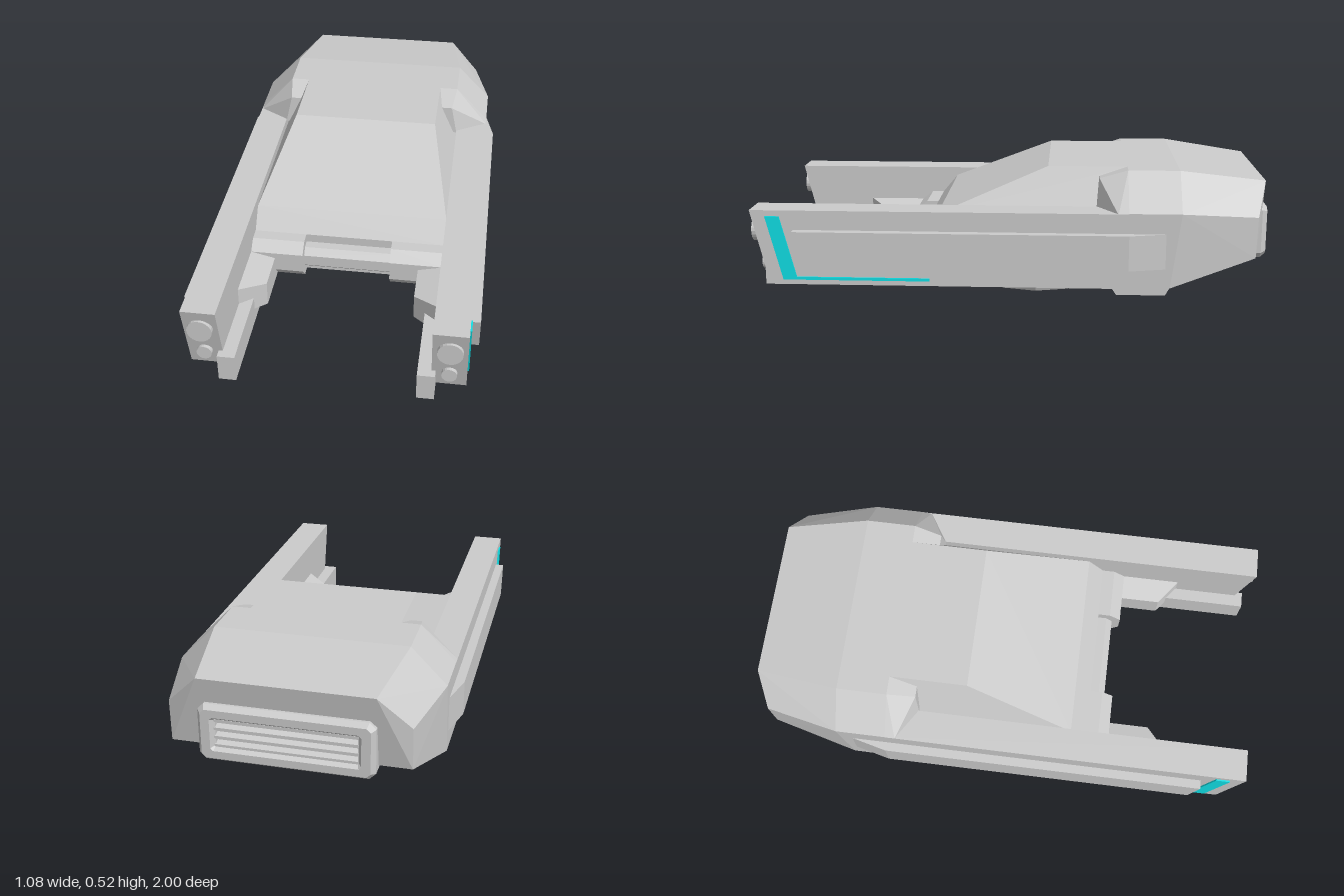
import * as THREE from 'three';
import { ConvexGeometry } from 'three/addons/geometries/ConvexGeometry.js';

const grey = new THREE.MeshStandardMaterial({ color: 0xcccccc, flatShading: true });
const cyan = new THREE.MeshStandardMaterial({ color: 0x10e0e6, flatShading: true });

export function createModel() {
  const model = new THREE.Group();

  function add(name, geometry, material = grey) {
    const mesh = new THREE.Mesh(geometry, material);
    mesh.name = name;
    model.add(mesh);
    return mesh;
  }
  // Faceted solid around corner points [x, y, z]
  const solid = (name, points, material) =>
    add(name, new ConvexGeometry(points.map(p => new THREE.Vector3(...p))), material);
  // Solid symmetric about x = 0, from the corners of its left half
  const symmetric = (name, points) =>
    solid(name, points.flatMap(([x, y, z]) => [[x, y, z], [-x, y, z]]));
  // The same solid on the left and on the right
  const pair = (name, points, material) => {
    solid(name + 'Left', points, material);
    solid(name + 'Right', points.map(([x, y, z]) => [-x, y, z]), material);
  };
  // Side profile [z, y] spanned from x0 to x1
  const prism = (profile, x0, x1) => profile.flatMap(([z, y]) => [[x0, y, z], [x1, y, z]]);

  // Cabin with sloped windshield, short nose and flat floor
  symmetric('cabin', [
    [0.295, 0.525, -0.46], [0.295, 0.525, -0.14],
    [0.38, 0.348, -0.46], [0.38, 0.348, 0.29],
    [0.38, 0.27, 0.355], [0.38, 0.1, 0.355], [0.38, 0.1, -0.46],
  ]);

  // Rear hull, tapering to the back
  symmetric('rearHull', [
    [0.507, 0.09, -0.45], [0.507, 0.385, -0.45], [0.37, 0.525, -0.45],
    [0.507, 0.095, -0.61], [0.507, 0.385, -0.65], [0.37, 0.525, -0.65],
    [0.44, 0.2, -0.94], [0.44, 0.36, -0.945], [0.32, 0.48, -0.985],
  ]);

  // Fairings from the rear hull to the arms
  pair('fairing', [
    [0.295, 0.525, -0.45], [0.37, 0.525, -0.45], [0.507, 0.385, -0.45],
    [0.507, 0.38, -0.41], [0.31, 0.49, -0.34], [0.355, 0.49, -0.34],
    [0.38, 0.375, -0.33], [0.33, 0.375, -0.33], [0.3, 0.375, -0.45],
  ]);

  // Long forward arms with raked ends
  pair('arm', prism([[1, 0.383], [0.93, 0.09], [-0.46, 0.09], [-0.46, 0.383]], 0.38, 0.507));

  // Raised outer panels, fading into the rear hull
  pair('sidePanel', [
    [0.5, 0.17, 0.8], [0.5, 0.307, 0.832], [0.542, 0.17, 0.8], [0.542, 0.307, 0.832],
    [0.542, 0.17, -0.45], [0.542, 0.307, -0.45],
    [0.5, 0.17, -0.62], [0.5, 0.307, -0.62],
  ]);

  // Light strips on the outside of the arms
  pair('slantedLight', prism([[0.94, 0.36], [0.885, 0.36], [0.822, 0.11], [0.877, 0.11]], 0.5, 0.513), cyan);
  pair('lowerLight', prism([[0.85, 0.11], [0.85, 0.121], [0.31, 0.121], [0.31, 0.11]], 0.5, 0.513), cyan);

  // Skids inside the arms, fins below them and inner brackets
  pair('skid', prism([[0.98, 0.165], [0.98, 0.055], [0.34, 0.055], [0.25, 0.09], [0.25, 0.165]], 0.33, 0.395));
  pair('fin', prism([[-0.37, 0.1], [-0.41, 0.04], [-0.6, 0.04], [-0.64, 0.11]], 0.405, 0.425));
  pair('bracket', [
    [0.285, 0.212, 0.4], [0.285, 0.212, 0.61], [0.385, 0.236, 0.69], [0.385, 0.236, 0.4],
    [0.285, 0.112, 0.4], [0.285, 0.112, 0.61], [0.385, 0.112, 0.69], [0.385, 0.112, 0.4],
  ]);

  // Bumper blocks and the thinner bar between them
  pair('bumperBlock', prism([[0.34, 0.27], [0.405, 0.27], [0.45, 0.235], [0.45, 0.155], [0.41, 0.11], [0.34, 0.11]], 0.173, 0.38));
  solid('bumperBar', prism([[0.34, 0.235], [0.392, 0.235], [0.417, 0.21], [0.417, 0.165], [0.395, 0.145], [0.34, 0.145]], -0.175, 0.175));

  // Headlights, two on each arm
  for (const side of [-1, 1]) {
    for (const [y, r, z] of [[0.296, 0.046, 1], [0.166, 0.028, 0.968]]) {
      const lamp = add('headlight', new THREE.CylinderGeometry(r, r, 0.06, 20));
      lamp.rotation.x = Math.PI / 2;
      lamp.position.set(side * 0.444, y, z - 0.03);
    }
  }

  // Rear vent frame with chamfered edge
  const cornered = (Path, w, h, c) => new Path([
    [w - c, -h], [w, c - h], [w, h - c], [w - c, h],
    [c - w, h], [-w, h - c], [-w, c - h], [c - w, -h],
  ].map(p => new THREE.Vector2(...p)));
  const outline = cornered(THREE.Shape, 0.305, 0.095, 0.015);
  outline.holes.push(cornered(THREE.Path, 0.272, 0.066, 0.01));
  const frame = add('ventFrame', new THREE.ExtrudeGeometry(outline, {
    depth: 0.18, bevelThickness: 0.02, bevelSize: 0.015, bevelSegments: 1,
  }));
  frame.rotation.y = Math.PI;
  frame.position.set(0, 0.275, -0.8);

  // Vent back plate and slats
  add('ventBack', new THREE.BoxGeometry(0.56, 0.15, 0.14)).position.set(0, 0.275, -0.89);
  for (let i = 0; i < 4; i++) {
    const y = 0.226 + i * 0.033;
    solid('ventSlat', prism([[-0.95, y + 0.012], [-0.985, y + 0.004], [-0.985, y - 0.006], [-0.95, y - 0.012]], -0.268, 0.268));
  }

  // Twelve-sided ring thruster under the floor, with a recessed disc
  const ring = [
    [0, 0.045], [0.185, 0.045], [0.19, 0.03], [0.21, 0.03], [0.215, 0.012],
    [0.235, 0], [0.262, 0], [0.275, 0.028], [0.285, 0.042], [0.28, 0.057], [0.27, 0.085], [0.24, 0.085], [0.22, 0.105],
  ].map(p => new THREE.Vector2(...p));
  add('thruster', new THREE.LatheGeometry(ring, 12)).position.z = -0.09;

  return model;
}
